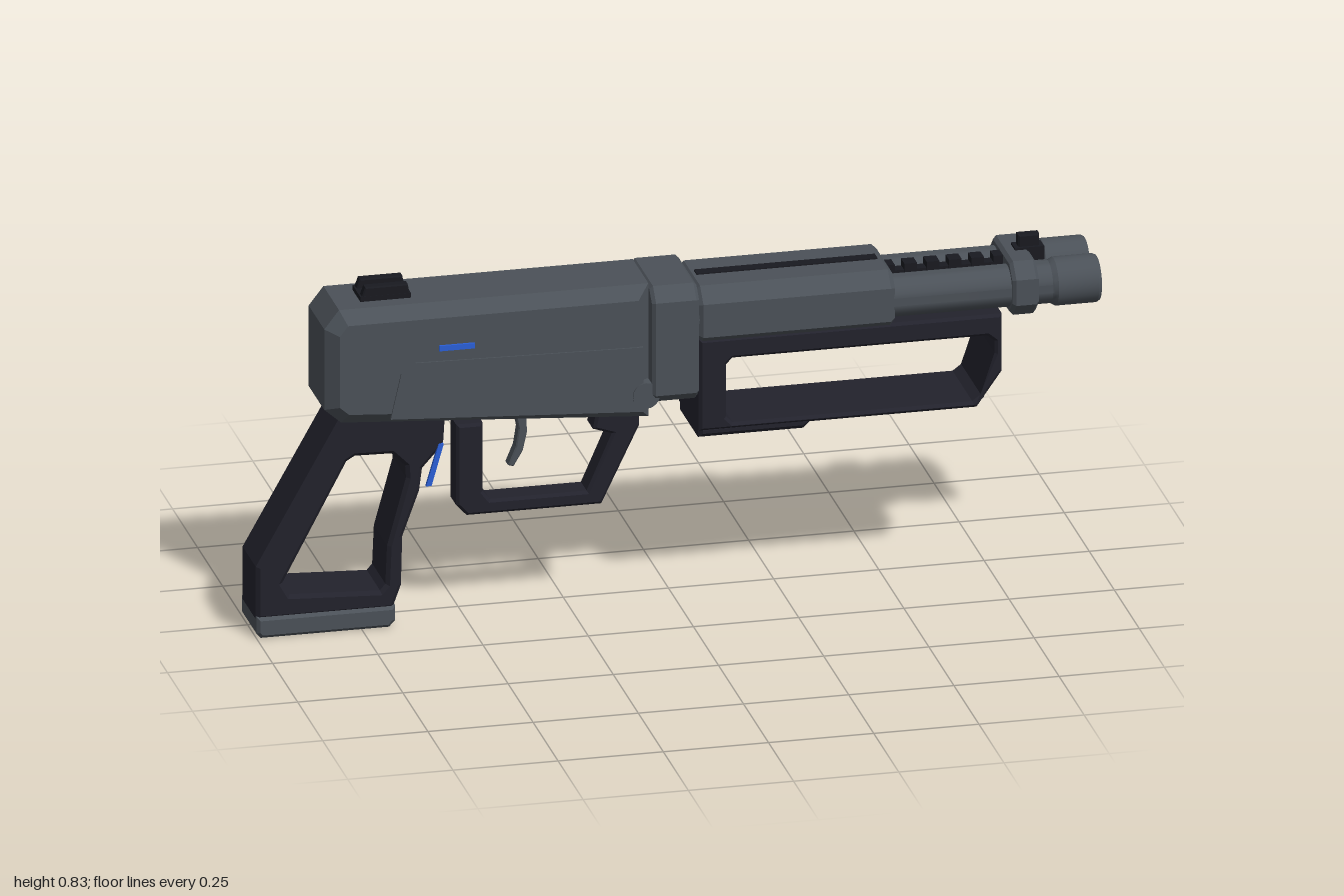
import * as THREE from 'three';
import { toCreasedNormals } from 'three/addons/utils/BufferGeometryUtils.js';

const material = (name, color) => {
  const m = new THREE.MeshStandardMaterial({ color });
  m.name = name;
  return m;
};

export function createModel() {
  const root = new THREE.Group();
  root.name = 'doubleBarrelBlaster';
  const body = new THREE.Group();
  body.name = 'body';
  body.position.z = 0.015;
  root.add(body);

  const grey = material('gunmetal', 0x4b5158);
  const dark = material('darkPolymer', 0x22222c);
  const black = material('blackSteel', 0x191a20);
  const blue = material('blueAccent', 0x2a5fd8);

  const add = (name, geometry, mat, x = 0, y = 0, z = 0) => {
    const mesh = new THREE.Mesh(geometry, mat);
    mesh.name = name;
    mesh.position.set(x, y, z);
    body.add(mesh);
    return mesh;
  };
  const points = (list) => list.map(([x, y]) => new THREE.Vector2(x, y));
  // Side profile (x, y) given thickness in z, with chamfered edges
  const slab = (outline, half, bevel = 0, hole = null) => {
    const shape = new THREE.Shape(points(outline));
    if (hole) shape.holes.push(new THREE.Path(points(hole)));
    const g = new THREE.ExtrudeGeometry(shape, {
      depth: 2 * (half - bevel), bevelEnabled: bevel > 0, bevelSegments: 1,
      bevelSize: bevel, bevelThickness: bevel, bevelOffset: -bevel, curveSegments: 8,
    });
    return g.translate(0, 0, -(half - bevel));
  };
  // Box along x whose cross-section has cut top and bottom corners
  const bar = (x0, x1, y0, y1, half, top, bottom, bevel = 0) => {
    const shape = new THREE.Shape(points([
      [-half + bottom, y0], [half - bottom, y0], [half, y0 + bottom], [half, y1 - top],
      [half - top, y1], [-half + top, y1], [-half, y1 - top], [-half, y0 + bottom],
    ]));
    const g = new THREE.ExtrudeGeometry(shape, {
      depth: x1 - x0 - 2 * bevel, bevelEnabled: bevel > 0, bevelSegments: 1,
      bevelSize: bevel, bevelThickness: bevel, bevelOffset: -bevel,
    });
    return g.rotateY(Math.PI / 2).translate(x0 + bevel, 0, 0);
  };
  const box = (name, mat, x0, x1, y0, y1, z0, z1) =>
    add(name, new THREE.BoxGeometry(x1 - x0, y1 - y0, z1 - z0), mat,
      (x0 + x1) / 2, (y0 + y1) / 2, (z0 + z1) / 2);

  // Receiver and collar
  add('receiver', slab([
    [-0.8, 0.52], [-0.07, 0.47], [-0.07, 0.8], [-0.805, 0.8], [-0.84, 0.755], [-0.84, 0.555],
  ], 0.108, 0.03), grey);
  add('collar', bar(-0.07, 0.042, 0.515, 0.797, 0.123, 0.032, 0.02, 0.008), grey);
  add('hingePin', new THREE.CylinderGeometry(0.032, 0.032, 0.232, 16).rotateX(Math.PI / 2),
    grey, -0.083, 0.535, 0);
  for (const s of [1, -1]) {
    add('sidePanel', slab([
      [-0.69, 0.53], [-0.09, 0.495], [-0.09, 0.655], [-0.63, 0.665], [-0.665, 0.64],
    ], 0.004), grey, 0, 0, s * 0.108);
    box('sideLight', blue, -0.575, -0.49, 0.69, 0.703, s * 0.11 - 0.004, s * 0.11 + 0.004);
  }

  // Ejection port frame on the right side
  add('portFrame', slab(
    [[-0.38, 0.555], [-0.21, 0.545], [-0.21, 0.625], [-0.23, 0.635], [-0.38, 0.635]], 0.01, 0.003,
    [[-0.36, 0.575], [-0.23, 0.567], [-0.23, 0.612], [-0.36, 0.615]],
  ), grey, 0, 0, -0.115);
  box('portLatch', grey, -0.34, -0.25, 0.582, 0.605, -0.121, -0.105);

  // Sling ring on the right rear
  add('slingRing', new THREE.TorusGeometry(0.018, 0.008, 8, 20).rotateX(Math.PI / 2),
    black, -0.797, 0.643, -0.132);
  add('slingPost', new THREE.CylinderGeometry(0.012, 0.012, 0.035, 12).rotateX(Math.PI / 2),
    black, -0.797, 0.643, -0.105);

  // Rear sight with a notch
  box('rearSightBase', black, -0.745, -0.625, 0.79, 0.812, -0.04, 0.04);
  for (const s of [1, -1]) {
    add('rearSightPost', slab(
      [[-0.745, 0.8], [-0.625, 0.8], [-0.632, 0.834], [-0.733, 0.834]], 0.012, 0.003,
    ), black, 0, 0, s * 0.027);
  }

  // Barrels: outer wall, thicker muzzle, then the bore
  const barrelProfile = points([
    [0.05, 0.04], [0.05, 0.885], [0.053, 0.89], [0.057, 0.897], [0.057, 0.993],
    [0.053, 1], [0.045, 1], [0.042, 0.99], [0.042, 0.84], [0, 0.84],
  ]);
  for (const s of [1, -1]) {
    const g = new THREE.LatheGeometry(barrelProfile, 32).rotateZ(-Math.PI / 2);
    add('barrel', toCreasedNormals(g, 0.5), grey, 0, 0.71, s * 0.06);
  }
  add('barrelBand', bar(0.787, 0.85, 0.645, 0.778, 0.12, 0.035, 0.035, 0.008), grey);

  // Shroud over the rear half of the barrels
  add('shroud', bar(0.04, 0.51, 0.655, 0.784, 0.117, 0.035, 0.012, 0.012), grey);
  box('shroudSlot', black, 0.06, 0.49, 0.78, 0.787, -0.014, 0.014);

  // Rib with teeth
  box('rib', black, 0.5, 0.86, 0.68, 0.752, -0.014, 0.014);
  for (let i = 0; i < 6; i++) {
    const x = 0.5 + i * 0.053;
    box('ribTooth', black, x, x + 0.03, 0.745, 0.768, -0.018, 0.018);
  }

  // Front sight
  box('frontSightBase', black, 0.815, 0.885, 0.75, 0.783, -0.02, 0.02);
  add('frontSightBlade', slab(
    [[0.825, 0.77], [0.875, 0.77], [0.875, 0.812], [0.825, 0.812]], 0.013, 0.004), black);

  // Fore grip: an open frame with a block below its rear end
  add('foreGrip', slab(
    [[0.045, 0.43], [0.705, 0.43], [0.765, 0.515], [0.765, 0.657], [0.045, 0.657]], 0.105, 0.007,
    [[0.125, 0.445], [0.695, 0.445], [0.715, 0.46], [0.748, 0.56], [0.748, 0.59],
      [0.73, 0.605], [0.125, 0.605], [0.11, 0.59], [0.11, 0.46]],
  ), dark);
  add('foreGripBlock', slab(
    [[0.045, 0.412], [0.295, 0.412], [0.325, 0.44], [0.045, 0.44]], 0.1, 0.01), dark);

  // Trigger guard and trigger
  add('triggerGuard', slab(
    [[-0.49, 0.243], [-0.17, 0.243], [-0.08, 0.43], [-0.08, 0.48], [-0.18, 0.48], [-0.19, 0.43],
      [-0.145, 0.415], [-0.205, 0.278], [-0.435, 0.278], [-0.452, 0.3], [-0.452, 0.47],
      [-0.515, 0.47], [-0.515, 0.27]], 0.035, 0.007), dark);
  add('trigger', slab(
    [[-0.375, 0.5], [-0.345, 0.5], [-0.343, 0.43], [-0.353, 0.385], [-0.375, 0.348],
      [-0.388, 0.352], [-0.37, 0.395], [-0.363, 0.44]], 0.016, 0.003), grey);

  // Skeleton pistol grip with foot
  add('grip', slab(
    [[-1, 0.045], [-0.675, 0.045], [-0.655, 0.1], [-0.652, 0.22], [-0.612, 0.33], [-0.605, 0.385],
      [-0.555, 0.44], [-0.55, 0.52], [-0.8, 0.53], [-1, 0.175]], 0.075, 0.009,
    [[-0.92, 0.1], [-0.705, 0.09], [-0.692, 0.105], [-0.688, 0.2], [-0.643, 0.365],
      [-0.645, 0.395], [-0.678, 0.428], [-0.765, 0.43], [-0.785, 0.418], [-0.937, 0.13]],
  ), dark);
  add('gripFoot', slab(
    [[-1, 0.012], [-0.99, 0], [-0.685, 0], [-0.67, 0.015], [-0.67, 0.052], [-1, 0.052]],
    0.08, 0.008), grey);
  for (const s of [1, -1]) {
    add('gripLight', slab(
      [[-0.598, 0.343], [-0.585, 0.343], [-0.556, 0.445], [-0.568, 0.445]], 0.004),
    blue, 0, 0, s * 0.0745);
  }
  return root;
}
